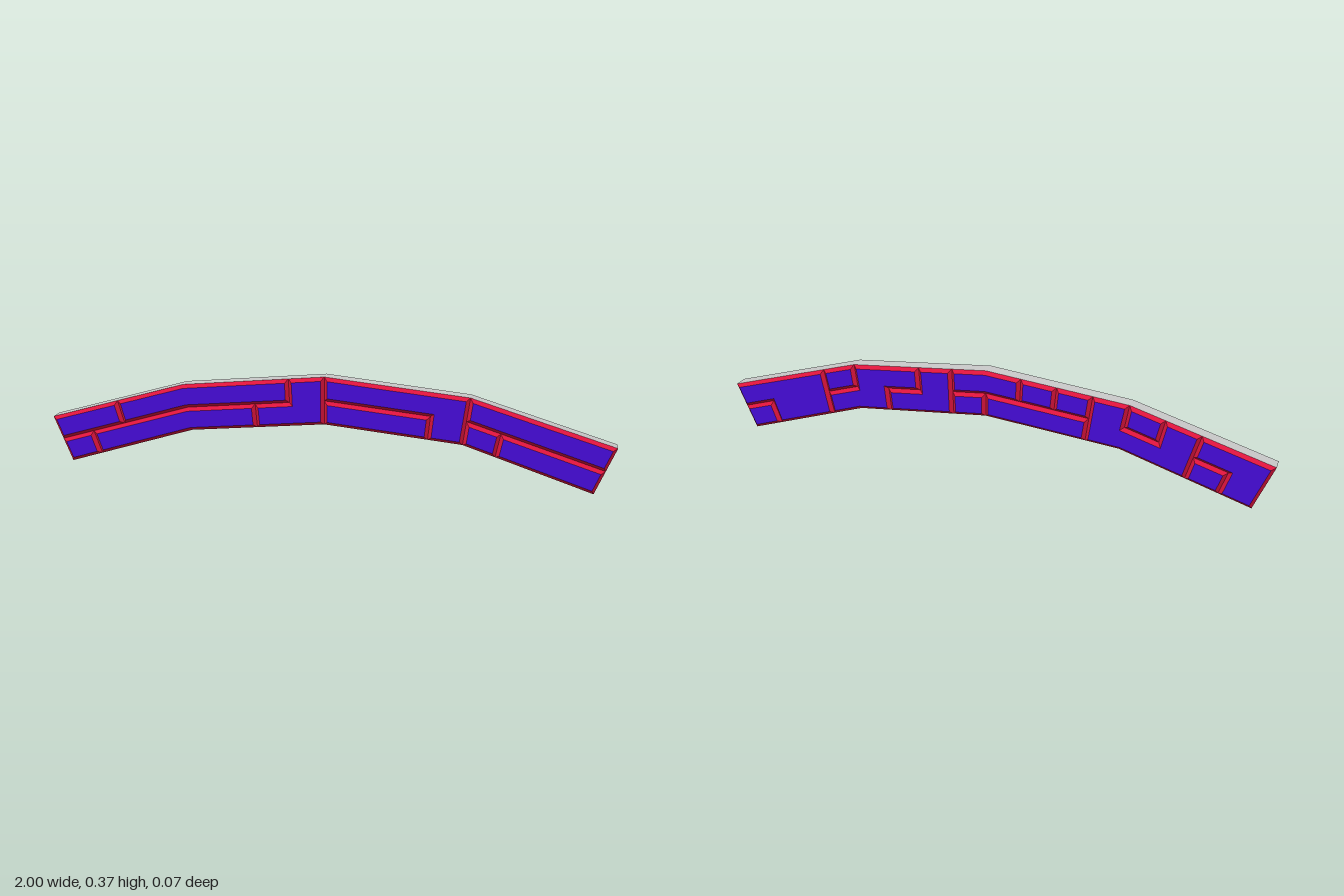
import * as THREE from 'three';

// Arch outline: four straight bays, five stations
const TOP = [[-1, 0.179], [-0.507, 0.321], [0, 0.37], [0.503, 0.319], [1, 0.167]];
const BOTTOM = [[-0.935, 0.015], [-0.479, 0.155], [0, 0.2], [0.481, 0.151], [0.93, 0]];
const CORE_Z = 0.024, FACE_Z = 0.036, BEVEL = 0.012;

// u runs 0..4 along the arch, v runs 0..1 from bottom to top
function place([u, v]) {
  const i = Math.min(3, Math.floor(u)), f = u - i;
  const at = (row) => new THREE.Vector2(...row[i]).lerp(new THREE.Vector2(...row[i + 1]), f);
  return at(BOTTOM).lerp(at(TOP), v);
}

// Tile outline from its span in the lower course and its span in the upper course
function tile(low, high) {
  if (!high) return rect(low, 0, 0.5);
  if (!low) return rect(high, 0.5, 1);
  const [a, b] = low, [c, d] = high;
  return [[a, 0], [b, 0], [b, 0.5], [d, 0.5], [d, 1], [c, 1], [c, 0.5], [a, 0.5]];
}
function rect([a, b], v0, v1) {
  return [[a, v0], [b, v0], [b, v1], [a, v1]];
}

const FRONT = [
  tile(null, [0, 0.5]), tile(null, [0.5, 1.75]),
  tile([0, 0.25]), tile([0.25, 1.5]),
  tile([1.5, 2], [1.75, 2]),
  tile([2, 2.75]), tile([2.75, 3], [2, 3]),
  tile(null, [3, 4]), tile([3, 3.25]), tile([3.25, 4]),
];
const BACK = [
  tile([3.75, 4]), tile([3.25, 3.75], [3.25, 4]),
  tile(null, [3, 3.25]), tile([2.75, 3.25], [2.5, 3]),
  tile([2.25, 2.75], [2.25, 2.5]),
  tile([2, 2.25]), tile([1.25, 2]),
  tile(null, [1.75, 2.25]), tile(null, [1.5, 1.75]), tile(null, [1.25, 1.5]),
  tile(null, [0.75, 1]),
  // U-shaped tile around the small one
  [[0.5, 0], [1.25, 0], [1.25, 1], [1, 1], [1, 0.5], [0.75, 0.5], [0.75, 1], [0.5, 1]],
  tile([0.25, 0.5]), tile([0, 0.25], [0, 0.5]),
];

// Drop repeated corners and add a corner wherever an edge crosses a bend
function outline(corners) {
  const same = (p, q) => p[0] === q[0] && p[1] === q[1];
  const pts = corners.filter((p, i) => !same(p, corners[(i + 1) % corners.length]));
  const out = [];
  pts.forEach((p, i) => {
    const q = pts[(i + 1) % pts.length];
    out.push(p);
    const bends = [1, 2, 3].filter((k) => k > Math.min(p[0], q[0]) && k < Math.max(p[0], q[0]));
    if (q[0] < p[0]) bends.reverse();
    bends.forEach((k) => out.push([k, p[1]]));
  });
  return out.map(place);
}

// Mitred inward offset of a counter-clockwise outline
function inset(pts, w) {
  const normal = (a, b) => new THREE.Vector2(a.y - b.y, b.x - a.x).normalize();
  return pts.map((p, i) => {
    const n1 = normal(pts[(i + pts.length - 1) % pts.length], p);
    const n2 = normal(p, pts[(i + 1) % pts.length]);
    return p.clone().addScaledVector(n1.clone().add(n2), w / (1 + n1.dot(n2)));
  });
}

function flatMesh(name, positions, color) {
  const geo = new THREE.BufferGeometry();
  geo.setAttribute('position', new THREE.Float32BufferAttribute(positions, 3));
  geo.computeVertexNormals();
  const mesh = new THREE.Mesh(geo, new THREE.MeshStandardMaterial({ color }));
  mesh.name = name;
  return mesh;
}

// Raised tiles with bevelled rims on one side of the arch (side = 1 front, -1 back)
function tileSide(name, tiles, side) {
  const faces = [], rims = [];
  const tri = (list, a, b, c) => {
    for (const [p, z] of side > 0 ? [a, b, c] : [a, c, b]) list.push(p.x, p.y, z * side);
  };
  for (const corners of tiles) {
    const outer = outline(corners), inner = inset(outer, BEVEL);
    const hi = inner.map((p) => [p, FACE_Z]), lo = outer.map((p) => [p, CORE_Z]);
    for (const [a, b, c] of THREE.ShapeUtils.triangulateShape(inner, [])) tri(faces, hi[a], hi[b], hi[c]);
    lo.forEach((p, i) => {
      const j = (i + 1) % lo.length;
      tri(rims, p, lo[j], hi[j]);
      tri(rims, p, hi[j], hi[i]);
    });
  }
  const group = new THREE.Group();
  group.name = name;
  group.add(flatMesh('tileFaces', faces, 0x450bd4), flatMesh('tileBevels', rims, 0xdc143c));
  return group;
}

export function createModel() {
  const model = new THREE.Group();
  model.name = 'tiledArch';

  // Plain core slab
  const shape = new THREE.Shape([...BOTTOM, ...[...TOP].reverse()].map((p) => new THREE.Vector2(...p)));
  const geo = new THREE.ExtrudeGeometry(shape, { depth: CORE_Z * 2, bevelEnabled: false });
  geo.translate(0, 0, -CORE_Z);
  const core = new THREE.Mesh(geo, new THREE.MeshStandardMaterial({ color: 0xcccccc }));
  core.name = 'core';

  model.add(core, tileSide('frontTiles', FRONT, 1), tileSide('backTiles', BACK, -1));
  return model;
}
